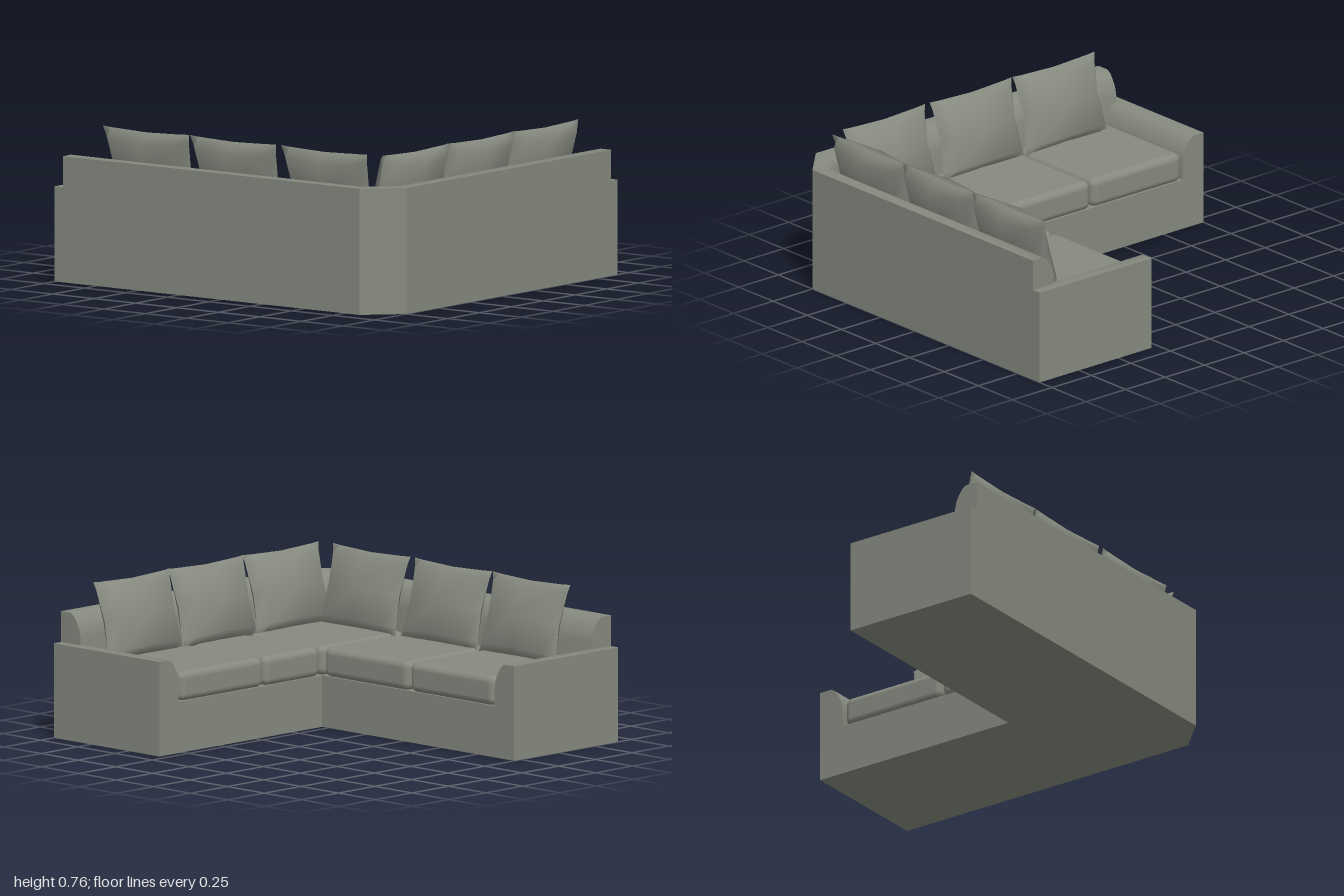
import * as THREE from 'three';
import { mergeGeometries, toCreasedNormals } from 'three/addons/utils/BufferGeometryUtils.js';
import { RoundedBoxGeometry } from 'three/addons/geometries/RoundedBoxGeometry.js';

const fabric = new THREE.MeshStandardMaterial({ color: 0x868a7f });
fabric.name = 'grey fabric';

const SEAT = 0.25;

function part(name, geometry) {
  const mesh = new THREE.Mesh(geometry, fabric);
  mesh.name = name;
  return mesh;
}

// Sweeps the rounded rail section along stations [x, z, inwardX, inwardZ]
function rail(stations, top) {
  const profile = [[0, SEAT], [0, top], [0.065, top], [0.085, top - 0.012], [0.105, top - 0.04],
    [0.122, top - 0.075], [0.13, top - 0.11], [0.132, SEAT]];
  const n = profile.length;
  const positions = [];
  const index = [];
  for (const [x, z, dx, dz] of stations) {
    for (const [d, y] of profile) positions.push(x + dx * d, y, z + dz * d);
  }
  for (let i = 0; i < stations.length - 1; i++) {
    for (let j = 0; j < n - 1; j++) {
      const a = i * n + j, b = a + n;
      index.push(a, b, a + 1, b, b + 1, a + 1);
    }
  }
  const end = (stations.length - 1) * n;
  for (let j = 1; j < n - 1; j++) {
    index.push(0, j, j + 1, end, end + j + 1, end + j);
  }
  const g = new THREE.BufferGeometry();
  g.setAttribute('position', new THREE.Float32BufferAttribute(positions, 3));
  g.setIndex(index);
  return toCreasedNormals(g, 0.6);
}

// Pillow: two grids bulging apart from a pinched seam
function pillowGeometry() {
  const spread = (t) => (Math.abs(Math.abs(t) - 0.5) < 0.01 ? Math.sign(t) * 0.8 : t);
  const bulge = (t, shoulder) => {
    const a = Math.abs(t);
    return a > 0.8 ? shoulder * (1 - a) / 0.2 : 1 - (1 - shoulder) * a / 0.8;
  };
  const sides = [1, -1].map((side) => {
    const g = new THREE.PlaneGeometry(2, 2, 4, 4);
    if (side < 0) g.rotateY(Math.PI);
    const p = g.attributes.position;
    for (let i = 0; i < p.count; i++) {
      const u = spread(p.getX(i)), v = spread(p.getY(i));
      p.setXYZ(i,
        0.26 * u * (1 - 0.1 * (1 - v * v)),
        0.195 * v * (1 - 0.06 * (1 - u * u)),
        side * 0.083 * bulge(u, 0.68) * bulge(v, 0.88));
    }
    g.computeVertexNormals();
    return g;
  });
  return mergeGeometries(sides).rotateX(-0.26);
}

export function createModel() {
  const model = new THREE.Group();
  model.name = 'cornerSofa';

  // L-shaped base with a cut corner
  const outline = new THREE.Shape([[-0.91, -1], [-0.2, -1], [-0.2, 0.29], [0.91, 0.29], [0.91, 1],
    [-0.75, 1], [-0.91, 0.84]].map(([x, z]) => new THREE.Vector2(x, z)));
  const base = new THREE.ExtrudeGeometry(outline, { depth: SEAT, bevelEnabled: false });
  base.rotateX(Math.PI / 2).translate(0, SEAT, 0);
  model.add(part('base', base));

  // Backrest around the corner, and the two lower arms
  const m = Math.tan(Math.PI / 8);
  model.add(part('backrest', rail([[-0.91, -0.95, 1, 0], [-0.91, 0.84, 1, -m],
    [-0.75, 1, m, -1], [0.86, 1, 0, -1]], 0.61)));
  model.add(part('rightArm', rail([[-0.2, -1, 0, 1], [-0.91, -1, 0, 1]], 0.46)));
  model.add(part('leftArm', rail([[0.91, 1, -1, 0], [0.91, 0.29, -1, 0]], 0.46)));

  // Seat cushions as [x0, x1, z0, z1]
  const seats = [[-0.775, -0.195, -0.862, -0.297], [-0.775, -0.195, -0.288, 0.278],
    [-0.775, -0.195, 0.285, 0.865], [-0.188, 0.192, 0.285, 0.865], [0.198, 0.765, 0.285, 0.865]];
  for (const [x0, x1, z0, z1] of seats) {
    const g = new RoundedBoxGeometry(x1 - x0, 0.145, z1 - z0, 3, 0.035);
    g.translate((x0 + x1) / 2, 0.318, (z0 + z1) / 2);
    model.add(part('seatCushion', g));
  }

  // Loose back pillows leaning on both backrests
  const pillow = pillowGeometry();
  for (const z of [-0.55, -0.025, 0.525]) {
    const mesh = part('sidePillow', pillow);
    mesh.position.set(-0.727, 0.568, z);
    mesh.rotation.y = Math.PI / 2;
    model.add(mesh);
  }
  for (const x of [-0.5, 0.01, 0.515]) {
    const mesh = part('backPillow', pillow);
    mesh.position.set(x, 0.568, 0.817);
    mesh.rotation.y = Math.PI;
    model.add(mesh);
  }
  return model;
}
